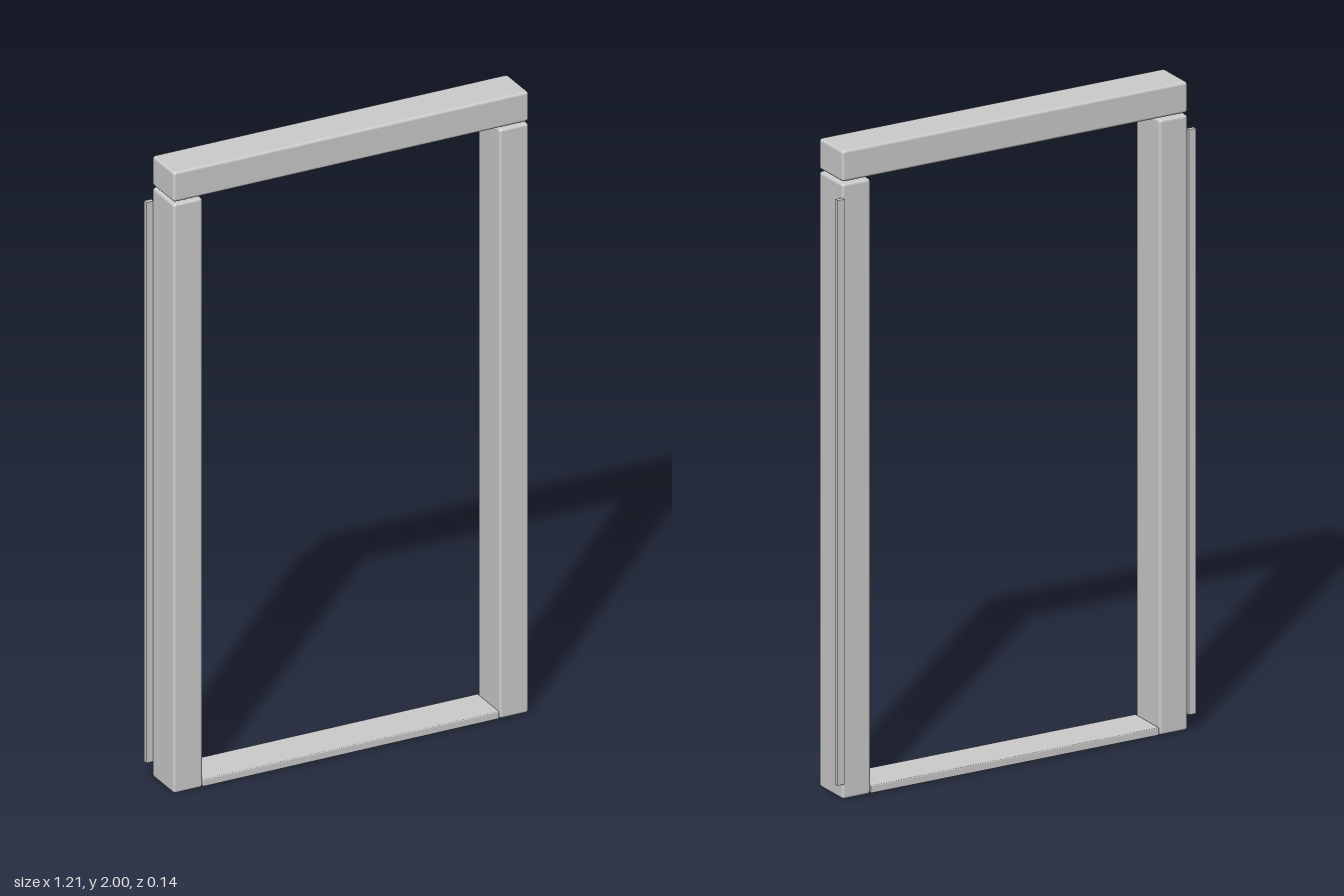
import * as THREE from 'three';
import { RoundedBoxGeometry } from 'three/addons/geometries/RoundedBoxGeometry.js';

export function createModel() {
  const model = new THREE.Group();
  model.name = 'doorFrame';
  const material = new THREE.MeshStandardMaterial({ color: 0xcccccc });

  // Soft-edged box given by its minimum and maximum corners
  function beam(name, [x0, y0, z0], [x1, y1, z1], radius) {
    const geometry = new RoundedBoxGeometry(x1 - x0, y1 - y0, z1 - z0, 2, radius);
    const mesh = new THREE.Mesh(geometry, material);
    mesh.position.set((x0 + x1) / 2, (y0 + y1) / 2, (z0 + z1) / 2);
    mesh.name = name;
    model.add(mesh);
    return mesh;
  }

  const front = 0.072, back = -0.063;

  // Lintel across the top, with a fine joint above the posts
  beam('lintel', [-0.583, 1.904, back], [0.583, 2, front], 0.009);

  // Low threshold between the posts
  beam('threshold', [-0.486, 0.002, back], [0.486, 0.026, front], 0.003);

  // Side posts and the thin strips on their outer back edges
  for (const [side, s] of [['left', 1], ['right', -1]]) {
    const post = beam(side + 'Post', [0.487, 0, back], [0.583, 1.898, front], 0.009);
    const strip = beam(side + 'Strip', [0.581, 0.05, -0.072], [0.605, 1.855, -0.057], 0.001);
    post.position.x *= s;
    strip.position.x *= s;
  }

  return model;
}
